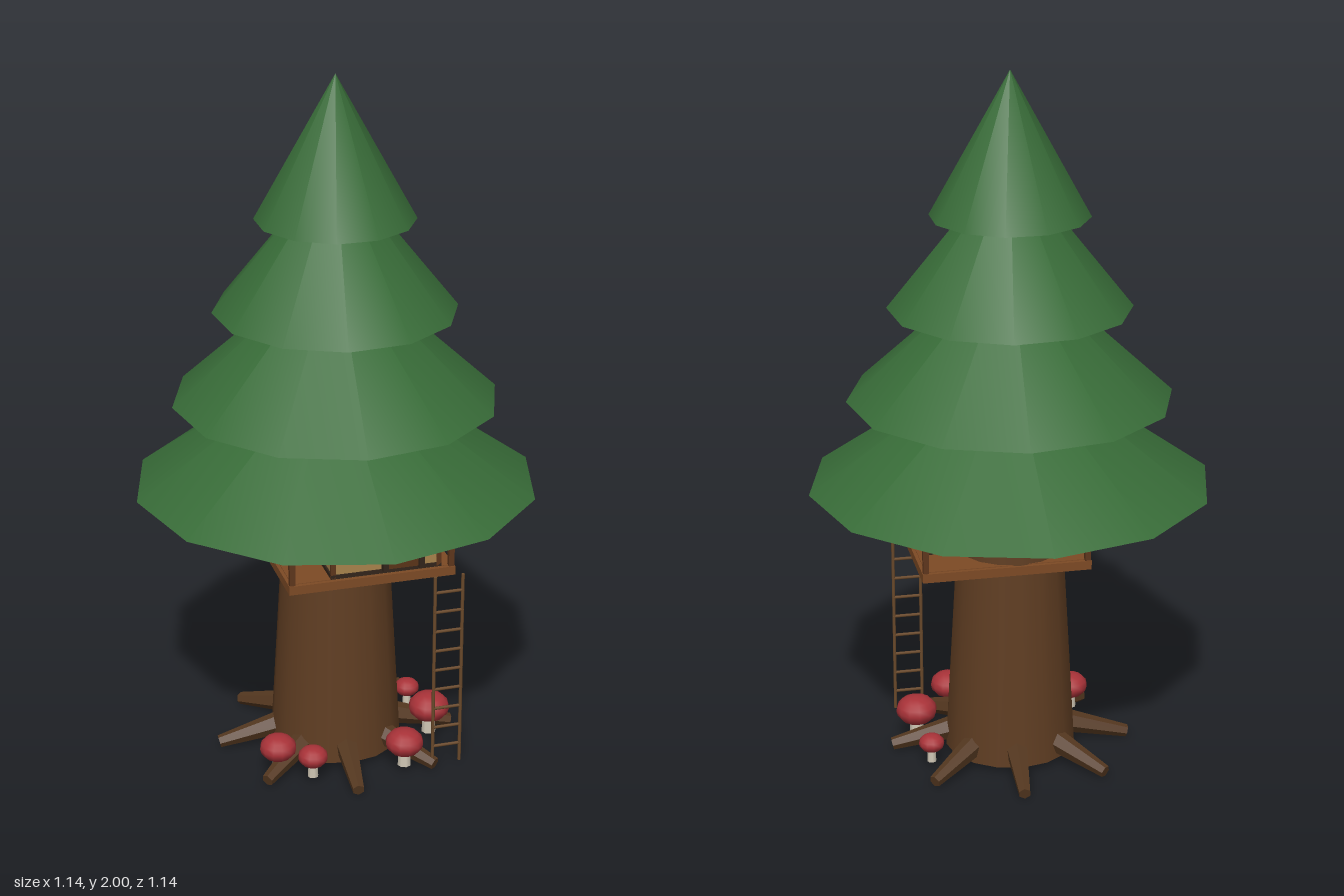
import * as THREE from 'three';

const mat = (color, flatShading = false) => new THREE.MeshStandardMaterial({ color, flatShading });
const M = {
  bark: mat(0x5f3d22), root: mat(0x553820, true), leaf: mat(0x386c38),
  plank: mat(0x7d4a25), dark: mat(0x33241a), rail: mat(0x5e361c), wall: mat(0xa8834c),
  roof: mat(0x4a2c1c), door: mat(0x5a3418), glass: mat(0xd9b44a), cap: mat(0xa83238),
  stem: mat(0xcfc6b4), rope: mat(0x6b4a2b),
};

export function createModel() {
  const group = new THREE.Group();
  const add = (name, geo, material, x = 0, y = 0, z = 0, parent = group) => {
    const m = new THREE.Mesh(geo, material);
    m.name = name;
    m.position.set(x, y, z);
    parent.add(m);
    return m;
  };
  const box = (name, material, w, h, d, x, y, z, parent) =>
    add(name, new THREE.BoxGeometry(w, h, d), material, x, y, z, parent);
  const sub = (name) => {
    const g = new THREE.Group();
    g.name = name;
    group.add(g);
    return g;
  };
  // Tapered rod between two points
  const rod = (name, material, a, b, rA, rB, sides, parent) => {
    const dir = b.clone().sub(a);
    const m = add(name, new THREE.CylinderGeometry(rB, rA, dir.length(), sides), material, 0, 0, 0, parent);
    m.position.copy(a).add(b).multiplyScalar(0.5);
    m.quaternion.setFromUnitVectors(new THREE.Vector3(0, 1, 0), dir.normalize());
    return m;
  };
  const V = (x, y, z) => new THREE.Vector3(x, y, z);

  // Trunk and roots
  add('trunk', new THREE.CylinderGeometry(0.133, 0.19, 0.98, 16), M.bark, 0, 0.51, 0);
  const roots = sub('roots');
  for (let i = 0; i < 8; i++) {
    const a = (i * 45 + 5) * Math.PI / 180, c = Math.cos(a), s = Math.sin(a);
    rod('root', M.root, V(c * 0.13, 0.075, s * 0.13), V(c * 0.345, 0.021, s * 0.345), 0.037, 0.018, 6, roots);
  }

  // Foliage: stacked cones, each turned a little further
  const foliage = sub('foliage');
  [[0.57, 0.83], [0.457, 1.083], [0.34, 1.342], [0.222, 1.6]].forEach(([r, y], i) => {
    const h = [0.4, 0.42, 0.425, 0.4][i];
    add('foliageTier', new THREE.ConeGeometry(r, h, 12), M.leaf, 0, y + h / 2, 0, foliage)
      .rotation.y = -i * Math.PI / 36;
  });

  // Platform with edge beams
  const deck = sub('platform');
  box('floor', M.plank, 0.46, 0.02, 0.38, 0.04, 0.625, 0.04, deck);
  for (const s of [-1, 1]) {
    box('edgeBeam', M.plank, 0.48, 0.026, 0.022, 0.04, 0.62, 0.04 + s * 0.19, deck);
    box('edgeBeam', M.plank, 0.022, 0.026, 0.4, 0.04 + s * 0.229, 0.62, 0.04, deck);
    for (const t of [-1, 1])
      box('railPost', M.rail, 0.016, 0.13, 0.016, 0.04 + s * 0.23, 0.69, 0.04 + t * 0.19, deck);
  }
  box('frontRail', M.rail, 0.475, 0.012, 0.012, 0.04, 0.75, 0.233, deck);

  // Cabin with gable roof, ridge along x
  const cabin = sub('cabin');
  box('walls', M.wall, 0.31, 0.22, 0.265, 0.08, 0.745, 0.1, cabin);
  box('baseTrim', M.dark, 0.32, 0.012, 0.272, 0.08, 0.643, 0.1, cabin);
  for (const x of [-0.073, 0.233])
    for (const z of [-0.03, 0.23])
      box('cornerPost', M.rail, 0.014, 0.2, 0.012, x, 0.74, z, cabin);
  const gable = new THREE.Shape([
    new THREE.Vector2(-0.16, 0.85), new THREE.Vector2(0.16, 0.85), new THREE.Vector2(0, 1.012),
  ]);
  const roofGeo = new THREE.ExtrudeGeometry(gable, { depth: 0.42, bevelEnabled: false });
  add('roof', roofGeo, M.roof, -0.13, 0, 0.1, cabin).rotation.y = Math.PI / 2;

  // Door
  box('doorPanel', M.door, 0.09, 0.15, 0.012, 0.127, 0.725, 0.236, cabin);
  for (const s of [-1, 1])
    box('doorJamb', M.dark, 0.016, 0.168, 0.022, 0.127 + s * 0.052, 0.73, 0.238, cabin);
  box('doorLintel', M.dark, 0.12, 0.016, 0.022, 0.127, 0.806, 0.238, cabin);
  add('doorKnob', new THREE.SphereGeometry(0.006, 8, 6), M.glass, 0.16, 0.72, 0.244, cabin);

  // Window
  box('windowGlass', M.glass, 0.08, 0.08, 0.01, 0.015, 0.75, 0.236, cabin);
  for (const s of [-1, 0, 1]) {
    const t = s ? 0.014 : 0.007;
    box('windowBar', M.rail, t, 0.094, 0.018, 0.015 + s * 0.04, 0.75, 0.238, cabin);
    box('windowBar', M.rail, 0.094, t, 0.018, 0.015, 0.75 + s * 0.04, 0.238, cabin);
  }

  // Hanging lanterns
  for (const x of [-0.165, 0.296]) {
    const lantern = sub('lantern');
    lantern.position.set(x, 0.775, 0.165);
    add('lanternCord', new THREE.CylinderGeometry(0.002, 0.002, 0.09, 5), M.dark, 0, 0.055, 0, lantern);
    add('lanternGlass', new THREE.CylinderGeometry(0.013, 0.011, 0.032, 8), M.glass, 0, 0, 0, lantern);
    add('lanternCap', new THREE.ConeGeometry(0.015, 0.012, 8), M.dark, 0, 0.022, 0, lantern);
  }

  // Ladder
  const ladder = sub('ladder');
  for (const x of [0.216, 0.297])
    rod('ladderRail', M.rope, V(x, 0.02, 0.258), V(x, 0.615, 0.258), 0.005, 0.005, 6, ladder);
  for (let i = 0; i < 9; i++) {
    const y = 0.076 + i * 0.0612;
    rod('rung', M.rope, V(0.213, y, 0.258), V(0.3, y, 0.258), 0.0045, 0.0045, 6, ladder);
  }

  // Mushrooms: x, z, cap radius, cap height
  const mushrooms = [
    [-0.217, 0.165, 0.053, 0.09], [-0.132, 0.23, 0.043, 0.083], [0.137, 0.24, 0.055, 0.093],
    [0.264, 0.075, 0.06, 0.102], [0.25, -0.095, 0.037, 0.078],
  ];
  for (const [x, z, r, y] of mushrooms) {
    const mushroom = sub('mushroom');
    add('mushroomStem', new THREE.CylinderGeometry(r * 0.28, r * 0.36, y - 0.02, 8), M.stem, x, (y + 0.02) / 2, z, mushroom);
    add('mushroomCap', new THREE.SphereGeometry(r, 12, 8), M.cap, x, y, z, mushroom).scale.y = 0.72;
  }
  return group;
}
